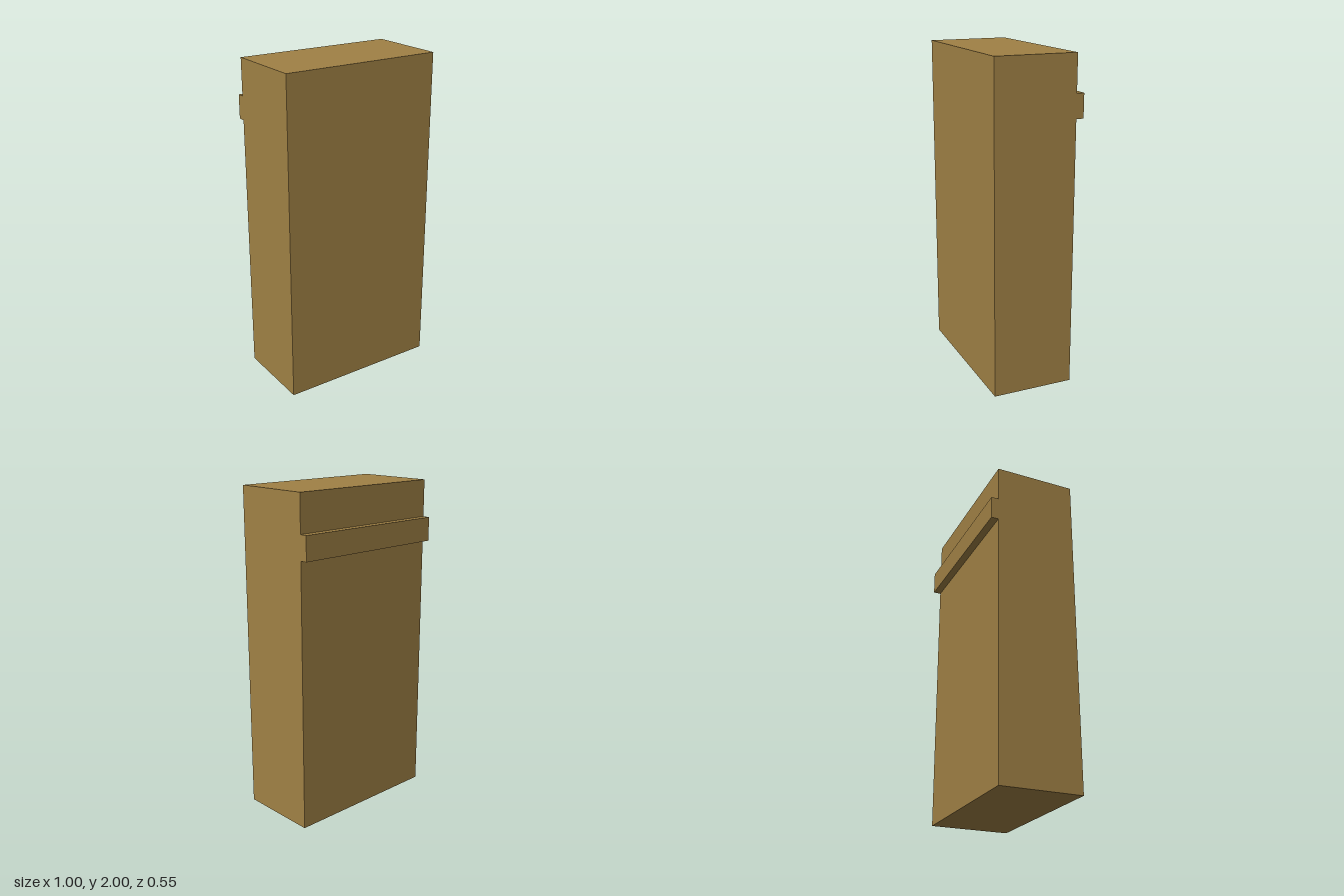
import * as THREE from 'three';

export function createModel() {
  const model = new THREE.Group();
  model.name = 'panelBlock';

  const wood = new THREE.MeshStandardMaterial({ color: 0xa08145 });
  wood.name = 'wood brown';

  // Adds a box spanning the given y and z ranges across the full width
  const addSlab = (name, [y0, y1], [z0, z1]) => {
    const mesh = new THREE.Mesh(new THREE.BoxGeometry(1, y1 - y0, z1 - z0), wood);
    mesh.name = name;
    mesh.position.set(0, (y0 + y1) / 2, (z0 + z1) / 2);
    model.add(mesh);
  };

  // Upright main block
  addSlab('body', [0, 2], [-0.227, 0.273]);
  // Horizontal rail along the back, near the top
  addSlab('backRail', [1.63, 1.775], [-0.273, -0.227]);

  return model;
}
